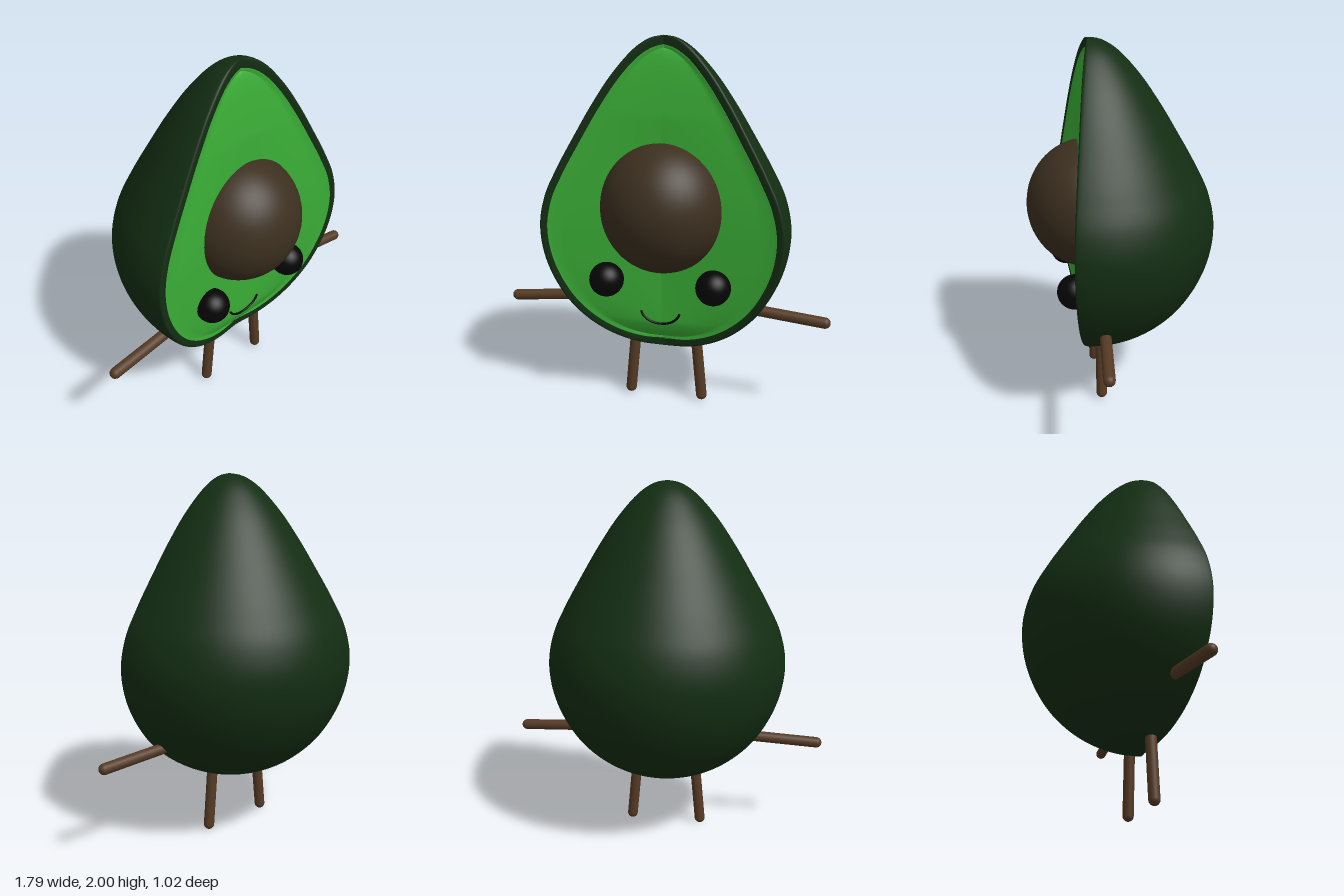
import * as THREE from 'three';

const AXIS_Z = 0.16; // the body is turned about a vertical axis here
const FOLD = 0.21;   // each half of the cut face leans forward by this angle
const RIM = 0.042;   // width of the skin rim

const material = (color) => new THREE.MeshStandardMaterial({ color });
const V = (x, y, z) => new THREE.Vector3(x, y, z);

// Smooth surface over rows of points; columns run left to right seen from outside, rows downwards
function gridSurface(rows) {
  const cols = rows[0].length;
  const index = [];
  for (let i = 0; i < rows.length - 1; i++) {
    for (let j = 0; j < cols - 1; j++) {
      const a = i * cols + j, b = a + cols;
      index.push(a, b, b + 1, a, b + 1, a + 1);
    }
  }
  const g = new THREE.BufferGeometry().setFromPoints(rows.flat());
  g.setIndex(index);
  g.computeVertexNormals();
  return g;
}

// Body outline from tip to base: radius, height and outward normal
function outline() {
  const pts = [[0, 2], [0.065, 1.988], [0.145, 1.94], [0.262, 1.815], [0.37, 1.66], [0.472, 1.49],
    [0.568, 1.32], [0.638, 1.17], [0.67, 1.0], [0.64, 0.8], [0.541, 0.6], [0.418, 0.47],
    [0.282, 0.385], [0.14, 0.337], [0, 0.322]];
  const curve = new THREE.CatmullRomCurve3(pts.map(([r, y]) => V(r, y, 0)), false, 'centripetal');
  const list = curve.getSpacedPoints(90);
  return list.map((p, i) => {
    const t = list[Math.min(i + 1, 90)].clone().sub(list[Math.max(i - 1, 0)]).normalize();
    const end = i === 0 || i === 90;
    const nr = end ? 0 : -t.y;
    // insets near the top narrow faster, so the flesh ends in a point
    return { r: Math.max(0, p.x), y: p.y, nr: p.y > 1.8 ? Math.max(0.75, nr) : nr, ny: end ? (i ? -1 : 1) : t.x };
  });
}

// Point on a half of the cut face, moved inwards by d and forwards by t
function cutPoint(p, side, d, t) {
  const r = Math.max(0, p.r - d * p.nr);
  const fade = Math.min(1, p.r / 0.15);
  return V(side * r * Math.cos(FOLD), p.y - d * p.ny, AXIS_Z + 0.006 + r * Math.sin(FOLD) + t * fade);
}

// Skin: rounded lip, sweep round the back, rounded lip
function skinGeometry(profile) {
  const R = 0.014;
  const lip = [[RIM + 0.006, -0.006], [RIM, 0]];
  for (let k = 6; k >= 0; k--) {
    const th = (k / 6) * Math.PI / 2;
    lip.push([R * (1 - Math.cos(th)), R * (Math.sin(th) - 1)]);
  }
  return gridSurface(profile.map((p) => {
    const row = lip.map(([d, t]) => cutPoint(p, 1, d, t));
    const start = FOLD - 0.04, n = 56;
    for (let k = 0; k <= n; k++) {
      const a = start - (k / n) * (Math.PI + 2 * start);
      row.push(V(p.r * Math.cos(a), p.y, AXIS_Z + p.r * Math.sin(a)));
    }
    return row.concat(lip.map(([d, t]) => cutPoint(p, -1, d, t)).reverse());
  }));
}

// One half of the flesh: a bevelled edge, then a slope to the fold in the middle
function fleshGeometry(profile, side) {
  return gridSurface(profile.map((p) => {
    const row = [[RIM - 0.004, -0.004], [RIM + 0.004, 0.002], [RIM + 0.016, -0.006]]
      .map(([d, t]) => cutPoint(p, side, d, t));
    const edge = row[2];
    const middle = V(0, edge.y, AXIS_Z + 0.006 + 0.06 * Math.min(1, Math.abs(edge.x) / 0.33));
    for (let k = 1; k <= 8; k++) row.push(edge.clone().lerp(middle, k / 8));
    return side > 0 ? row.reverse() : row;
  }));
}

// Round-ended stick between two points
function stick(name, a, b, mat) {
  const dir = b.clone().sub(a);
  const mesh = new THREE.Mesh(new THREE.CapsuleGeometry(0.03, dir.length(), 8, 20), mat);
  mesh.position.copy(a).lerp(b, 0.5);
  mesh.quaternion.setFromUnitVectors(V(0, 1, 0), dir.normalize());
  mesh.name = name;
  return mesh;
}

export function createModel() {
  const model = new THREE.Group();
  model.name = 'avocadoHalf';
  const skin = material(0x132d12);
  const flesh = material(0x3aad36);
  const seed = material(0x3c2f1f);
  const black = material(0x050505);
  const wood = material(0x553a24);

  const add = (name, geometry, mat) => {
    const mesh = new THREE.Mesh(geometry, mat);
    mesh.name = name;
    model.add(mesh);
    return mesh;
  };

  const profile = outline();
  add('skin', skinGeometry(profile), skin);

  // Stone
  const stone = add('stone', new THREE.SphereGeometry(1, 48, 32), seed);
  stone.scale.set(0.336, 0.352, 0.333);
  stone.position.set(0, 1.118, 0.174);

  // Smile
  const smile = [];
  for (let k = 0; k <= 12; k++) {
    const a = Math.PI * (1.06 + 0.88 * (k / 12));
    const x = 0.11 * Math.cos(a);
    smile.push(V(x - 0.006, 0.562 + 0.086 * Math.sin(a), 0.228 + 0.05 * Math.abs(x)));
  }
  add('smile', new THREE.TubeGeometry(new THREE.CatmullRomCurve3(smile), 40, 0.0065, 8), black);

  // Mirrored parts
  for (const s of [1, -1]) {
    const side = s > 0 ? 'left' : 'right';
    add(side + 'Flesh', fleshGeometry(profile, s), flesh);
    const eye = add(side + 'Eye', new THREE.SphereGeometry(0.093, 32, 24), black);
    eye.position.set(s * 0.291, 0.726, 0.28);
    model.add(
      stick(side + 'Arm', V(s * 0.45, 0.575, 0.14), V(s * 0.865, 0.545, 0.17), wood),
      stick(side + 'Leg', V(s * 0.17, 0.4, 0.133), V(s * 0.205, 0.03, 0.133), wood),
    );
  }
  return model;
}
